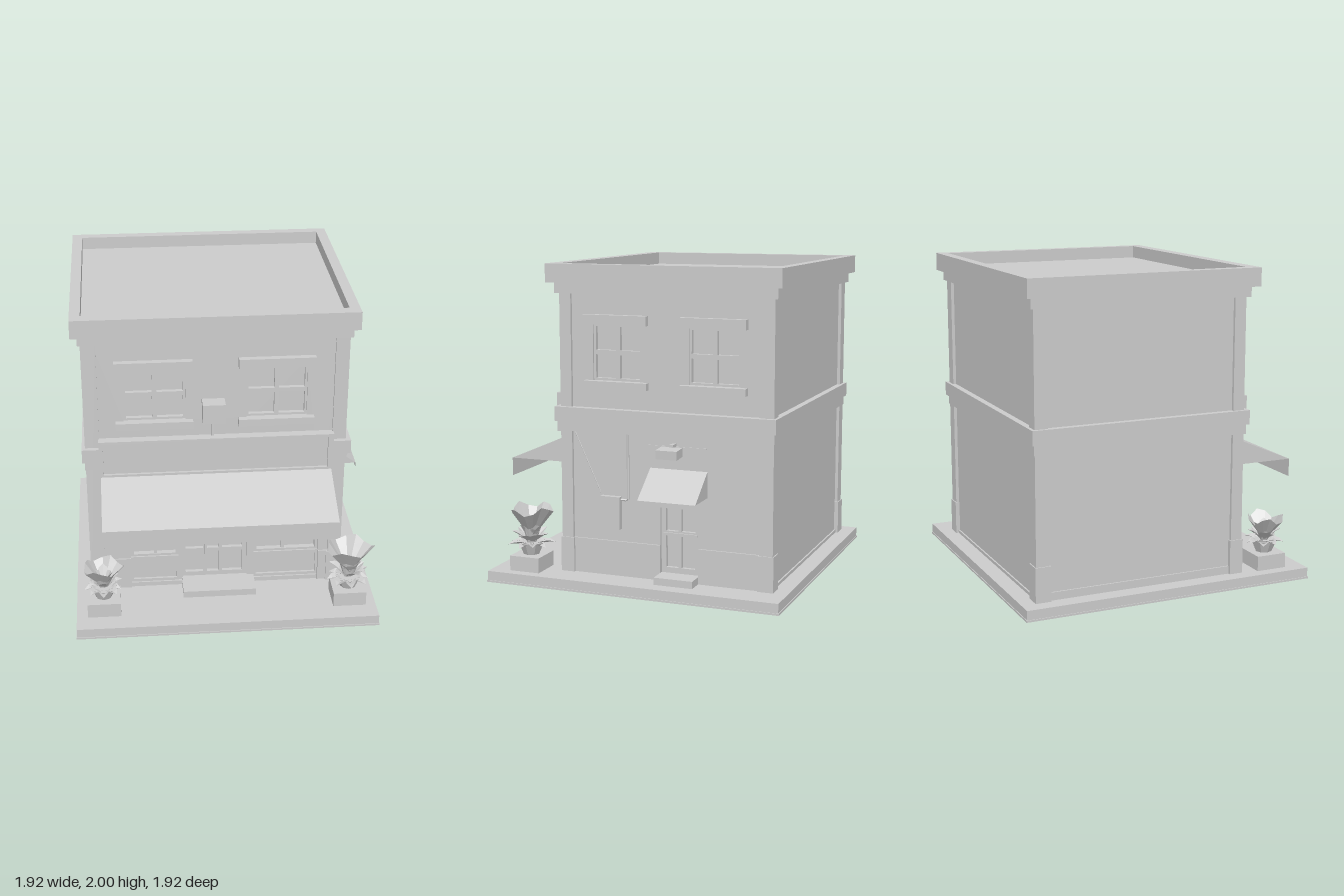
import * as THREE from 'three';

const grey = new THREE.MeshStandardMaterial({ color: 0xcccccc, flatShading: true });
const thin = new THREE.MeshStandardMaterial({ color: 0xcccccc, flatShading: true, side: THREE.DoubleSide });

function add(parent, name, geo, mat = grey) {
  const m = new THREE.Mesh(geo, mat);
  m.name = name;
  parent.add(m);
  return m;
}

// Box given by its limits on each axis
function box(parent, name, x0, x1, y0, y1, z0, z1) {
  const g = new THREE.BoxGeometry(x1 - x0, y1 - y0, z1 - z0);
  g.translate((x0 + x1) / 2, (y0 + y1) / 2, (z0 + z1) / 2);
  return add(parent, name, g);
}

function rect(type, x0, x1, y0, y1) {
  return new type([[x0, y0], [x1, y0], [x1, y1], [x0, y1]].map(p => new THREE.Vector2(...p)));
}

// Upright panel with rectangular openings
function panel(parent, name, r, holes, z0, z1) {
  const s = rect(THREE.Shape, ...r);
  s.holes = holes.map(h => rect(THREE.Path, ...h));
  const g = new THREE.ExtrudeGeometry(s, { depth: z1 - z0, bevelEnabled: false });
  g.translate(0, 0, z0);
  return add(parent, name, g);
}

// Four-pane window with lintel and sill; z is the wall face
function sashWindow(parent, x0, x1, y0, y1, z) {
  const g = new THREE.Group();
  g.name = 'window';
  parent.add(g);
  const mx = (x0 + x1) / 2, my = (y0 + y1) / 2, t = 0.014;
  const panes = [];
  for (const [a, b] of [[x0, mx], [mx, x1]])
    for (const [c, d] of [[y0, my], [my, y1]]) panes.push([a + t, b - t, c + t, d - t]);
  panel(g, 'windowFrame', [x0, x1, y0, y1], panes, z - 0.04, z - 0.012);
  box(g, 'lintel', x0 - 0.05, x1 + 0.045, y1, y1 + 0.06, z - 0.02, z + 0.04);
  box(g, 'sill', x0 - 0.05, x1 + 0.045, y0 - 0.045, y0, z - 0.02, z + 0.04);
}

// Sloping canopy with closed triangular ends and a hanging valance
function awning(parent, name, x0, x1, yTop, yEdge, yLow, z0, z1) {
  const v = [], quad = (a, b, c, d) => v.push(...a, ...b, ...c, ...a, ...c, ...d);
  quad([x0, yEdge, z1], [x1, yEdge, z1], [x1, yTop, z0], [x0, yTop, z0]);
  quad([x0, yLow, z1], [x1, yLow, z1], [x1, yEdge, z1], [x0, yEdge, z1]);
  v.push(x0, yEdge, z0, x0, yEdge, z1, x0, yTop, z0);
  v.push(x1, yEdge, z1, x1, yEdge, z0, x1, yTop, z0);
  const g = new THREE.BufferGeometry();
  g.setAttribute('position', new THREE.Float32BufferAttribute(v, 3));
  g.computeVertexNormals();
  add(parent, name, g, thin);
}

// Pointed leaf, arching outward along +z
function leafGeometry(len, width, rise, droop) {
  const g = new THREE.PlaneGeometry(1, 1, 2, 4), p = g.attributes.position;
  for (let i = 0; i < p.count; i++) {
    const s = p.getX(i) * 2, t = p.getY(i) + 0.5;
    const w = width * (0.15 + Math.sin(Math.PI * Math.pow(t, 0.8)) * 0.85) * (t > 0.99 ? 0.1 : 1);
    p.setXYZ(i, s * w / 2, rise * t - droop * t * t + Math.abs(s) * w * 0.25, len * t);
  }
  g.computeVertexNormals();
  return g;
}

function planter(parent, x, z, k, high) {
  const g = new THREE.Group();
  g.name = 'planter';
  g.position.set(x, 0.07, z);
  parent.add(g);
  box(g, 'pot', -0.105, 0.105, 0, 0.095, -0.1, 0.1);
  const stem = add(g, 'stem', new THREE.CylinderGeometry(0.085, 0.05, 0.08, 8));
  stem.position.y = 0.13;
  // Rings of leaves: count, height, length, width, rise, droop
  const rings = [[9, 0.13, 0.135, 0.085, 0.09, 0.06], [8, 0.15, 0.11, 0.08, 0.12, 0.04], [6, 0.17, 0.07, 0.08, 0.11, 0]];
  rings.forEach(([n, y, l, w, r, d], j) => {
    for (let i = 0; i < n; i++) {
      const f = 1 + 0.12 * Math.sin(i * 2.7 + j);
      const leaf = add(g, 'leaf', leafGeometry(l * f * k, w, r * f, d), thin);
      leaf.position.y = y;
      leaf.rotation.y = (i + j * 0.5) / n * Math.PI * 2;
    }
  });
  // Ruffled funnel crown
  const pts = [[0.03, 0.17], [0.06, high * 0.7], [0.1, high * 0.85], [0.14, high]].map(q => new THREE.Vector2(q[0] * k, q[1]));
  const crown = new THREE.LatheGeometry(pts, 14), p = crown.attributes.position;
  for (let i = 0; i < p.count; i++) {
    const a = Math.atan2(p.getZ(i), p.getX(i)), f = 1 + 0.1 * Math.sin(3 * a + 1);
    const t = (p.getY(i) - 0.17) / (high - 0.17);
    p.setXYZ(i, p.getX(i) * f, p.getY(i) + t * 0.025 * (Math.sin(4 * a) - 1), p.getZ(i) * f * 0.85);
  }
  crown.computeVertexNormals();
  add(g, 'crown', crown, thin);
}

function wire(parent, name, pts, r) {
  const path = new THREE.CurvePath();
  for (let i = 1; i < pts.length; i++)
    path.add(new THREE.LineCurve3(new THREE.Vector3(...pts[i - 1]), new THREE.Vector3(...pts[i])));
  add(parent, name, new THREE.TubeGeometry(path, 24, r, 6));
}

export function createModel() {
  const root = new THREE.Group();
  root.name = 'shopBuilding';
  box(root, 'ground', -0.96, 0.96, 0, 0.012, -0.96, 0.96);
  box(root, 'pavement', -0.955, 0.955, 0.012, 0.07, -0.955, 0.955);

  // Building core and corner pilasters
  box(root, 'core', -0.84, 0.70, 0.07, 1.86, -0.84, 0.45);
  for (const [x0, x1] of [[-0.86, -0.77], [0.68, 0.765]])
    for (const [z0, z1] of [[-0.86, -0.775], [0.445, 0.52]]) {
      box(root, 'pilaster', x0, x1, 0.07, 1.83, z0, z1);
      box(root, 'pilasterBase', x0 - 0.007, x1 + 0.007, 0.07, 0.29, z0 - 0.007, z1 + 0.007);
    }
  box(root, 'backSkirting', -0.77, 0.68, 0.07, 0.09, -0.85, -0.83);
  box(root, 'rightSkirting', -0.85, -0.83, 0.07, 0.12, -0.775, 0.445);

  // Middle band, cornice and parapet
  box(root, 'lowerBand', -0.865, 0.775, 0.97, 1.03, -0.865, 0.53);
  box(root, 'middleBand', -0.88, 0.795, 1.03, 1.12, -0.88, 0.55);
  box(root, 'corniceStep', -0.875, 0.78, 1.82, 1.885, -0.88, 0.547);
  box(root, 'roof', -0.915, 0.815, 1.885, 1.92, -0.915, 0.59);
  for (const [x0, x1] of [[-0.915, -0.85], [0.75, 0.815]]) box(root, 'parapet', x0, x1, 1.92, 2, -0.915, 0.59);
  for (const [z0, z1] of [[-0.915, -0.85], [0.515, 0.59]]) box(root, 'parapet', -0.85, 0.75, 1.92, 2, z0, z1);

  // Front wall, windows and shopfront
  const front = new THREE.Group();
  front.name = 'front';
  root.add(front);
  const fw = [[-0.615, -0.235, 1.29, 1.635], [0.14, 0.515, 1.29, 1.635]];
  panel(front, 'frontWall', [-0.8, 0.72, 0.07, 1.85], [...fw, [-0.6, 0.62, 0.1, 0.72]], 0.45, 0.505);
  fw.forEach(w => sashWindow(front, ...w, 0.505));
  box(front, 'frontPlinth', -0.77, -0.6, 0.07, 0.29, 0.5, 0.515);
  box(front, 'frontPlinth', 0.62, 0.68, 0.07, 0.29, 0.5, 0.515);
  for (const [x0, x1, bars] of [[-0.6, -0.29, [-0.44]], [0.2, 0.62, [0.39]]]) {
    panel(front, 'stallRiser', [x0, x1, 0.1, 0.29], [[x0 + 0.015, x1 - 0.015, 0.12, 0.265]], 0.45, 0.495);
    box(front, 'riserPanel', x0, x1, 0.1, 0.28, 0.45, 0.48);
    panel(front, 'shopWindowFrame', [x0, x1, 0.29, 0.72], [[x0 + 0.02, x1 - 0.02, 0.305, 0.7]], 0.45, 0.485);
    bars.forEach(b => box(front, 'mullion', b - 0.01, b + 0.01, 0.3, 0.71, 0.45, 0.48));
  }
  const glass = [];
  for (const [a, b] of [[-0.245, -0.13], [-0.105, -0.03], [-0.005, 0.125]]) glass.push([a, b, 0.325, 0.61], [a, b, 0.145, 0.3]);
  panel(front, 'doors', [-0.265, 0.155, 0.1, 0.64], glass, 0.45, 0.475);
  panel(front, 'doorFrame', [-0.29, 0.2, 0.1, 0.72], [[-0.265, 0.155, 0.115, 0.64]], 0.45, 0.49);
  for (const x of [-0.117, -0.018]) box(front, 'doorHandle', x - 0.006, x + 0.006, 0.28, 0.38, 0.475, 0.5);
  box(front, 'frontStep', -0.27, 0.2, 0.07, 0.115, 0.45, 0.66);
  awning(front, 'frontAwning', -0.77, 0.68, 0.925, 0.75, 0.635, 0.505, 0.91);

  // Blank sign board and bracket lamp
  panel(front, 'signFrame', [-0.775, 0.68, 0.945, 1.19], [[-0.75, 0.645, 0.96, 1.17]], 0.545, 0.587);
  box(front, 'signPanel', -0.77, 0.675, 0.95, 1.185, 0.52, 0.57);
  box(front, 'lampPole', -0.08, -0.062, 1.12, 1.31, 0.525, 0.545);
  box(front, 'lampBox', -0.135, 0.005, 1.3, 1.425, 0.505, 0.603);

  // Left side, built facing +z and turned to face +x
  const side = new THREE.Group();
  side.name = 'leftSide';
  side.rotation.y = Math.PI / 2;
  root.add(side);
  const sw = [[-0.305, 0.015, 1.29, 1.635], [0.32, 0.645, 1.29, 1.635]];
  panel(side, 'sideWall', [-0.5, 0.82, 0.07, 1.85], [...sw, [0.135, 0.385, 0.1, 0.62]], 0.7, 0.745);
  sw.forEach(w => sashWindow(side, ...w, 0.745));
  box(side, 'sidePlinth', -0.445, 0.135, 0.07, 0.29, 0.74, 0.757);
  box(side, 'sidePlinth', 0.385, 0.775, 0.07, 0.29, 0.74, 0.757);
  panel(side, 'sideDoor', [0.135, 0.385, 0.1, 0.62], [[0.165, 0.245, 0.38, 0.58], [0.265, 0.355, 0.38, 0.58],
    [0.165, 0.245, 0.15, 0.35], [0.265, 0.355, 0.15, 0.35]], 0.7, 0.725);
  box(side, 'sideDoorRail', 0.15, 0.37, 0.355, 0.37, 0.72, 0.735);
  box(side, 'sideStep', 0.135, 0.385, 0.07, 0.115, 0.7, 0.86);
  awning(side, 'sideAwning', 0.07, 0.44, 0.77, 0.61, 0.58, 0.745, 0.955);
  box(side, 'meterBox', -0.25, -0.122, 0.37, 0.575, 0.74, 0.78);
  wire(side, 'conduit', [[-0.076, 0.98, 0.75], [-0.076, 0.555, 0.75], [-0.13, 0.555, 0.755]], 0.008);
  wire(side, 'cable', [[-0.43, 0.96, 0.747], [-0.26, 0.59, 0.747]], 0.003);
  box(side, 'lampRail', 0.035, 0.435, 0.905, 0.912, 0.74, 0.75);
  box(side, 'lampArm', 0.215, 0.24, 0.91, 0.93, 0.74, 0.8);
  const lamp = box(side, 'sideLamp', -0.068, 0.068, -0.027, 0.027, -0.05, 0.05);
  lamp.position.set(0.228, 0.885, 0.835);
  lamp.rotation.x = 0.06;

  planter(root, -0.78, 0.73, 0.9, 0.34);
  planter(root, 0.785, 0.73, 1.05, 0.41);
  return root;
}
